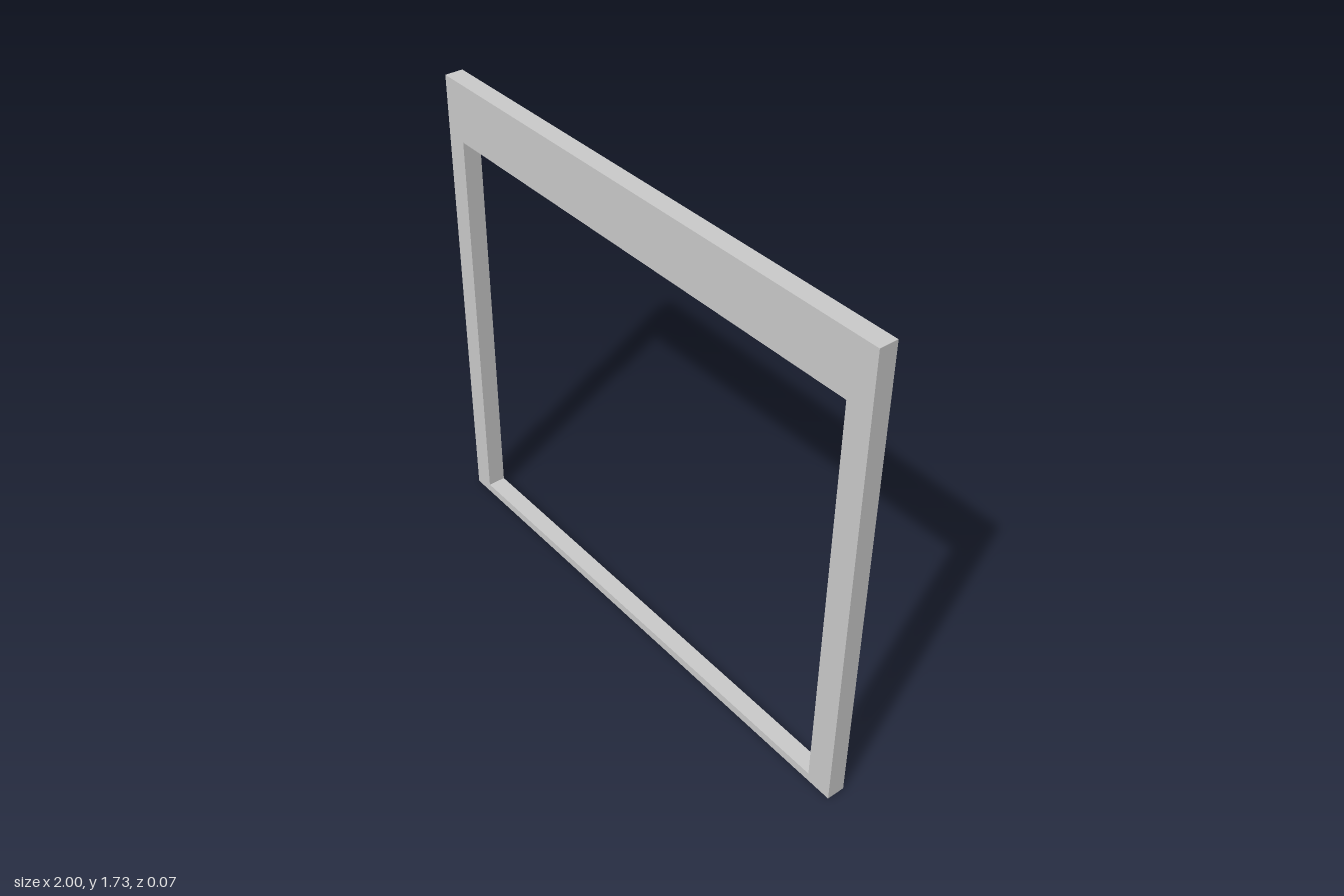
import * as THREE from 'three';

// Counter-clockwise rectangle outline
function rectangle(target, x0, y0, x1, y1) {
  target.moveTo(x0, y0);
  target.lineTo(x1, y0);
  target.lineTo(x1, y1);
  target.lineTo(x0, y1);
  target.closePath();
  return target;
}

export function createModel() {
  const group = new THREE.Group();
  group.name = 'frame';
  const depth = 0.066;

  // Flat frame: deep header, narrow jambs (right one slimmer), thin sill
  const outline = rectangle(new THREE.Shape(), -1, 0, 1, 1.733);
  outline.holes.push(rectangle(new THREE.Path(), -0.92, 0.032, 0.906, 1.519));

  const geometry = new THREE.ExtrudeGeometry(outline, { depth, bevelEnabled: false });
  geometry.translate(0, 0, -depth / 2);

  const frame = new THREE.Mesh(
    geometry,
    new THREE.MeshStandardMaterial({ color: 0xcccccc, flatShading: true })
  );
  frame.name = 'openingFrame';
  group.add(frame);
  return group;
}
